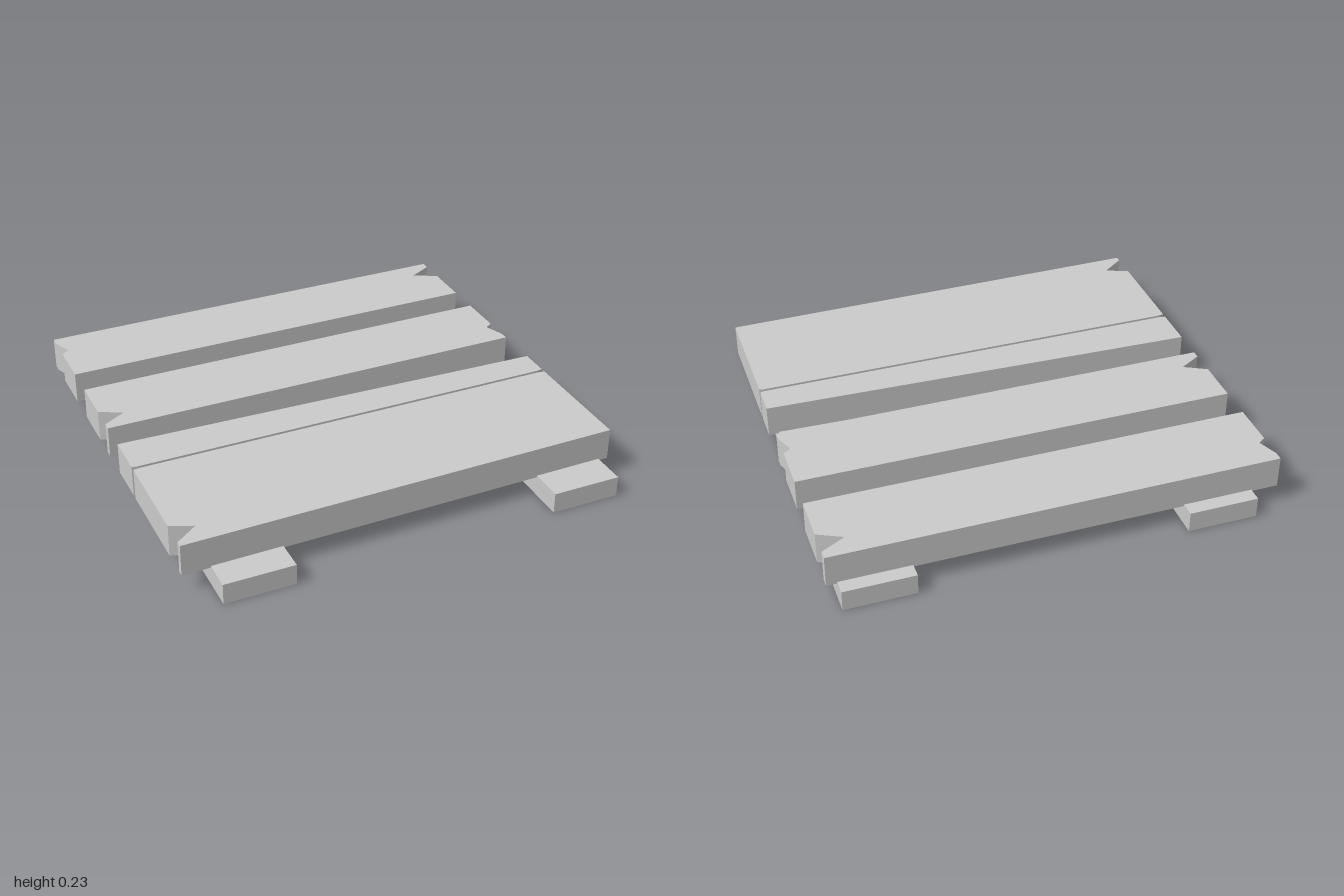
import * as THREE from 'three';

const material = new THREE.MeshStandardMaterial({ color: 0xcccccc, flatShading: true });
const PLANK_BOTTOM = 0.087, PLANK_TOP = 0.233, RUNNER_TOP = 0.095;

function addMesh(group, name, geometry) {
  const mesh = new THREE.Mesh(geometry, material);
  mesh.name = name;
  group.add(mesh);
}

// Plank from its [x, z] outline, extruded upwards
function plankGeometry(outline) {
  const shape = new THREE.Shape(outline.map(([x, z]) => new THREE.Vector2(x, -z)));
  return new THREE.ExtrudeGeometry(shape, { depth: PLANK_TOP - PLANK_BOTTOM, bevelEnabled: false })
    .rotateX(-Math.PI / 2)
    .translate(0, PLANK_BOTTOM, 0);
}

// Runner from its [z, y] side profile, with a narrow crack across the underside
function runnerGeometry(centerX) {
  const width = 0.316;
  const profile = [[-1, 0], [-0.153, 0], [-0.145, 0.083], [-0.139, 0], [1, 0], [1, RUNNER_TOP], [-1, RUNNER_TOP]];
  const shape = new THREE.Shape(profile.map(([z, y]) => new THREE.Vector2(z, y)));
  return new THREE.ExtrudeGeometry(shape, { depth: width, bevelEnabled: false })
    .rotateY(-Math.PI / 2)
    .translate(centerX + width / 2, 0, 0);
}

export function createModel() {
  const group = new THREE.Group();
  group.name = 'woodenPallet';

  // Two runners underneath
  addMesh(group, 'rightRunner', runnerGeometry(-0.718));
  addMesh(group, 'leftRunner', runnerGeometry(0.796));

  // Back and middle planks, split at both ends
  addMesh(group, 'backPlank', plankGeometry([
    [-1, -0.935], [1, -0.935], [1, -0.895], [0.89, -0.837], [1, -0.783], [1, -0.575],
    [-1, -0.575], [-1, -0.783], [-0.965, -0.805], [-1, -0.895],
  ]));
  addMesh(group, 'middlePlank', plankGeometry([
    [-1, -0.425], [1, -0.425], [1, -0.217], [0.965, -0.195], [1, -0.104], [1, -0.067],
    [-1, -0.067], [-1, -0.104], [-0.898, -0.163], [-1, -0.217],
  ]));

  // Wide tapered front plank in two parts, joined by a recessed core that leaves a groove
  addMesh(group, 'frontPlankInnerPart', plankGeometry([
    [-1, 0.072], [1, 0.131], [1, 0.265], [0.975, 0.27], [-0.975, 0.27], [-1, 0.265],
  ]));
  addMesh(group, 'frontPlankOuterPart', plankGeometry([
    [-1, 0.289], [-0.975, 0.284], [0.975, 0.284], [1, 0.289], [1, 0.842],
    [-1, 0.869], [-1, 0.842], [-0.898, 0.767], [-1, 0.725],
  ]));
  addMesh(group, 'frontPlankGroove', new THREE.BoxGeometry(1.95, 0.116, 0.03).translate(0, 0.16, 0.277));

  return group;
}
